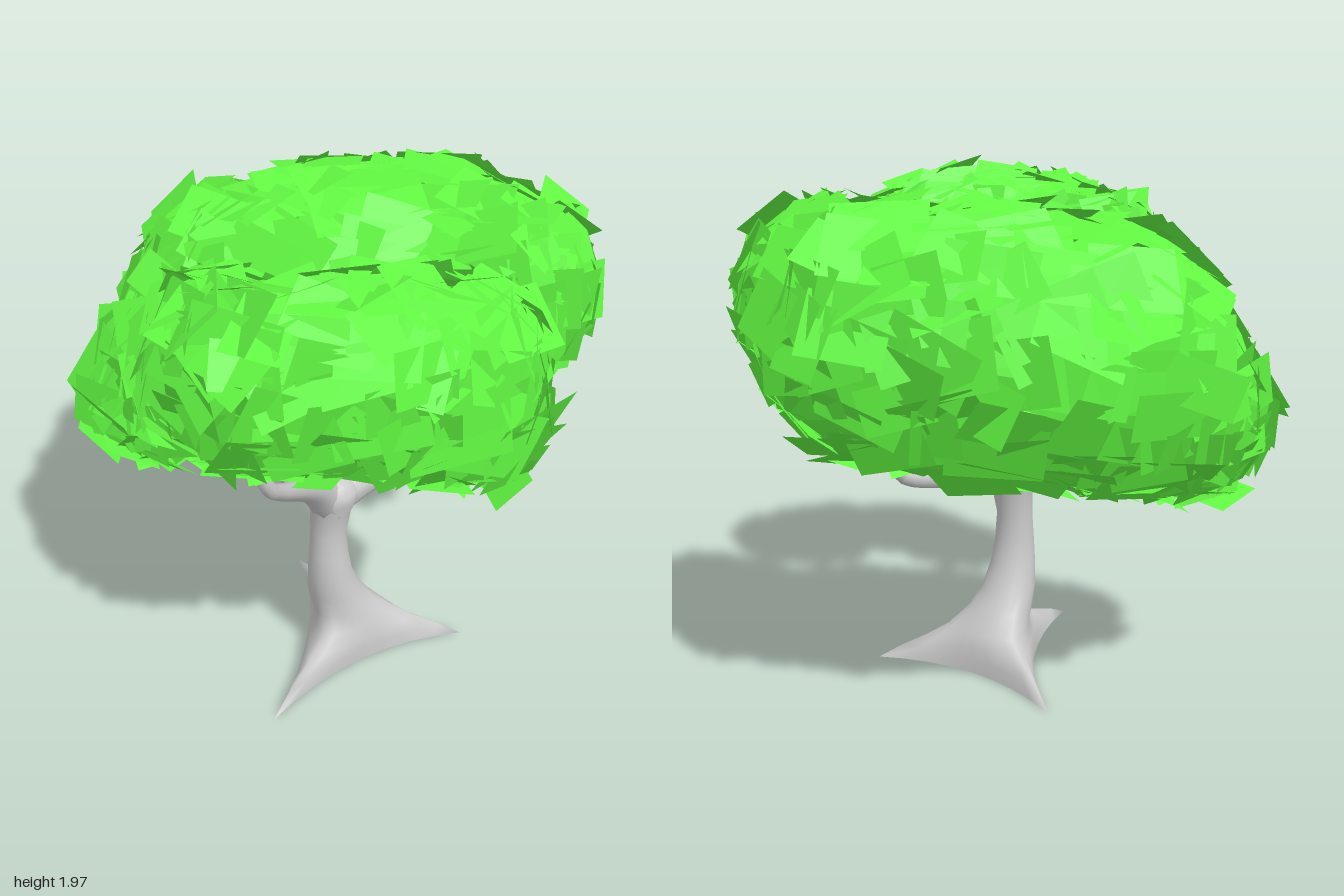
import * as THREE from 'three';
import { mergeGeometries } from 'three/addons/utils/BufferGeometryUtils.js';

const bark = new THREE.MeshStandardMaterial({ color: 0xcccccc, side: THREE.DoubleSide });
const leaf = new THREE.MeshStandardMaterial({ color: 0x62f842, side: THREE.DoubleSide });

// small seeded random generator
function seeded(seed) {
  return () => {
    seed = (seed * 1664525 + 1013904223) >>> 0;
    return seed / 4294967296;
  };
}

function named(name, geometry, material) {
  const mesh = new THREE.Mesh(geometry, material);
  mesh.name = name;
  return mesh;
}

// Trunk: rings that blend from a three-pointed root star to a round stem
function trunkGeometry() {
  const tips = [[0.48, 0.16], [-0.34, 0.53], [-0.12, -0.41]].map(p => new THREE.Vector2(...p));
  const base = new THREE.Vector2(0.01, 0.1);
  const steps = 8, star = [];
  tips.forEach((p, i) => {
    const q = tips[(i + 1) % 3];
    const a = p.clone().sub(base).angle();
    const span = (q.clone().sub(base).angle() - a + 2 * Math.PI) % (2 * Math.PI);
    // concave edge from one root tip to the next
    const pull = base.clone().lerp(p.clone().add(q).multiplyScalar(0.5), 0.25);
    const edge = new THREE.QuadraticBezierCurve(p, pull, q);
    for (let k = 0; k < steps; k++) {
      star.push({ a: a + span * k / steps, p: edge.getPoint(k / steps) });
    }
  });
  // y, centre x, centre z, stem radius, share of the star
  const rows = [
    [0, 0.01, 0.1, 0.16, 1], [0.05, 0.01, 0.1, 0.16, 0.72], [0.1, 0.02, 0.1, 0.15, 0.38],
    [0.15, 0.02, 0.1, 0.135, 0.14], [0.22, -0.015, 0.115, 0.12, 0.03], [0.3, -0.045, 0.13, 0.105, 0],
    [0.4, -0.065, 0.15, 0.088, 0], [0.5, -0.07, 0.15, 0.077, 0], [0.6, -0.07, 0.145, 0.07, 0],
    [0.7, -0.06, 0.14, 0.08, 0], [0.76, -0.055, 0.14, 0.1, 0], [0.8, -0.055, 0.14, 0.098, 0],
    [0.835, -0.06, 0.14, 0.075, 0], [0.855, -0.065, 0.14, 0.04, 0], [0.86, -0.065, 0.14, 0.001, 0],
  ];
  const n = star.length, pos = [], index = [];
  for (const [y, cx, cz, r, share] of rows) {
    for (const { a, p } of star) {
      const x = cx + Math.cos(a) * r, z = cz + Math.sin(a) * r;
      pos.push(x + (p.x - x) * share, y, z + (p.y - z) * share);
    }
  }
  for (let j = 0; j < rows.length - 1; j++) {
    for (let i = 0; i < n; i++) {
      const a = j * n + i, b = j * n + (i + 1) % n;
      index.push(a, a + n, b, b, a + n, b + n);
    }
  }
  // flat underside with its own vertices
  const start = pos.length / 3;
  pos.push(...pos.slice(0, n * 3), base.x, 0, base.y);
  for (let i = 0; i < n; i++) index.push(start + i, start + (i + 1) % n, start + n);
  const g = new THREE.BufferGeometry();
  g.setAttribute('position', new THREE.Float32BufferAttribute(pos, 3));
  g.setIndex(index);
  g.computeVertexNormals();
  return g;
}

// Branch: a tube that tapers along its path and closes at the tip
function branchGeometry(points) {
  const curve = new THREE.CatmullRomCurve3(points.map(p => new THREE.Vector3(...p)), false, 'centripetal');
  const along = 28, around = 10;
  const g = new THREE.TubeGeometry(curve, along, 1, around);
  const pos = g.attributes.position, v = new THREE.Vector3();
  for (let i = 0; i < pos.count; i++) {
    const t = Math.floor(i / (around + 1)) / along;
    const c = curve.getPointAt(t);
    const r = t === 1 ? 0.002 : 0.026 + 0.064 * Math.pow(1 - t, 2.8);
    v.fromBufferAttribute(pos, i).sub(c).multiplyScalar(r).add(c);
    pos.setXYZ(i, v.x, v.y, v.z);
  }
  return g;
}

// Foliage: flat cards spread evenly over a chain of ellipsoids [x, y, z, width radius, height radius]
function foliageGeometry(chain, count, seed) {
  const rand = seeded(seed);
  const blobs = [];
  for (let i = 0; i < chain.length - 1; i++) {
    for (let k = 0; k < 6; k++) {
      blobs.push(chain[i].map((v, j) => v + (chain[i + 1][j] - v) * k / 6));
    }
  }
  blobs.push(chain[chain.length - 1]);
  const inside = (p, b) =>
    ((p.x - b[0]) ** 2 + (p.z - b[2]) ** 2) / b[3] ** 2 + (p.y - b[1]) ** 2 / b[4] ** 2 < 0.995;

  const sample = () => {
    for (;;) {
      const b = blobs[Math.floor(rand() * blobs.length)];
      const u = rand() * 2 - 1, a = rand() * Math.PI * 2, s = Math.sqrt(1 - u * u);
      const d = new THREE.Vector3(s * Math.cos(a), u, s * Math.sin(a));
      const p = new THREE.Vector3(b[0] + d.x * b[3], b[1] + d.y * b[4], b[2] + d.z * b[3]);
      if (blobs.some(o => o !== b && inside(p, o))) continue;
      return { p, n: new THREE.Vector3(d.x / b[3], d.y / b[4], d.z / b[3]).normalize() };
    }
  };

  const placed = [], cards = [], holder = new THREE.Object3D();
  for (let i = 0; i < count; i++) {
    // keep the candidate farthest from the cards already placed
    let best, bestGap = -1;
    for (let k = 0; k < 6; k++) {
      const c = sample();
      const gap = placed.reduce((m, q) => Math.min(m, q.p.distanceToSquared(c.p)), 9);
      if (gap > bestGap) { best = c; bestGap = gap; }
    }
    placed.push(best);
    holder.position.copy(best.p).addScaledVector(best.n, -0.03 * rand());
    holder.lookAt(holder.position.clone().add(best.n));
    holder.rotateZ((rand() - 0.5) * 0.9);
    holder.rotateX((rand() - 0.5) * 0.6);
    holder.rotateY((rand() - 0.5) * 0.6);
    holder.updateMatrix();
    cards.push(new THREE.PlaneGeometry(0.2 + 0.15 * rand(), 0.15 + 0.1 * rand()).applyMatrix4(holder.matrix));
  }
  return mergeGeometries(cards);
}

export function createModel() {
  const tree = new THREE.Group();
  tree.name = 'tree';
  tree.add(named('trunk', trunkGeometry(), bark));

  // Branches fork from the crown of the trunk
  const branches = {
    frontBranch: [[-0.06, 0.74, 0.14], [-0.13, 0.85, 0.22], [-0.29, 1.05, 0.49], [-0.33, 1.12, 0.56], [-0.4, 1.32, 0.58]],
    leftBranch: [[-0.06, 0.76, 0.14], [0.08, 0.785, 0.08], [0.35, 0.81, -0.03], [0.39, 0.84, -0.04], [0.43, 1.06, -0.11], [0.46, 1.25, -0.17]],
    rightBranch: [[-0.06, 0.76, 0.14], [-0.18, 0.785, 0.03], [-0.37, 0.8, -0.18], [-0.43, 0.84, -0.23], [-0.5, 1.0, -0.3]],
  };
  for (const [name, path] of Object.entries(branches)) {
    tree.add(named(name, branchGeometry(path), bark));
  }

  // Large curved crown at the back, smaller one at the front
  tree.add(named('backFoliage', foliageGeometry([
    [0.65, 1.5, -0.07, 0.28, 0.33], [0.45, 1.41, -0.34, 0.4, 0.44], [0.05, 1.38, -0.41, 0.46, 0.47],
    [-0.35, 1.31, -0.41, 0.4, 0.45], [-0.64, 1.07, -0.26, 0.29, 0.29],
  ], 400, 7), leaf));
  tree.add(named('frontFoliage', foliageGeometry([
    [-0.49, 1.5, 0.38, 0.22, 0.3], [-0.31, 1.55, 0.57, 0.26, 0.31],
    [0.05, 1.58, 0.65, 0.24, 0.33], [0.35, 1.47, 0.56, 0.22, 0.36],
  ], 280, 21), leaf));
  return tree;
}
